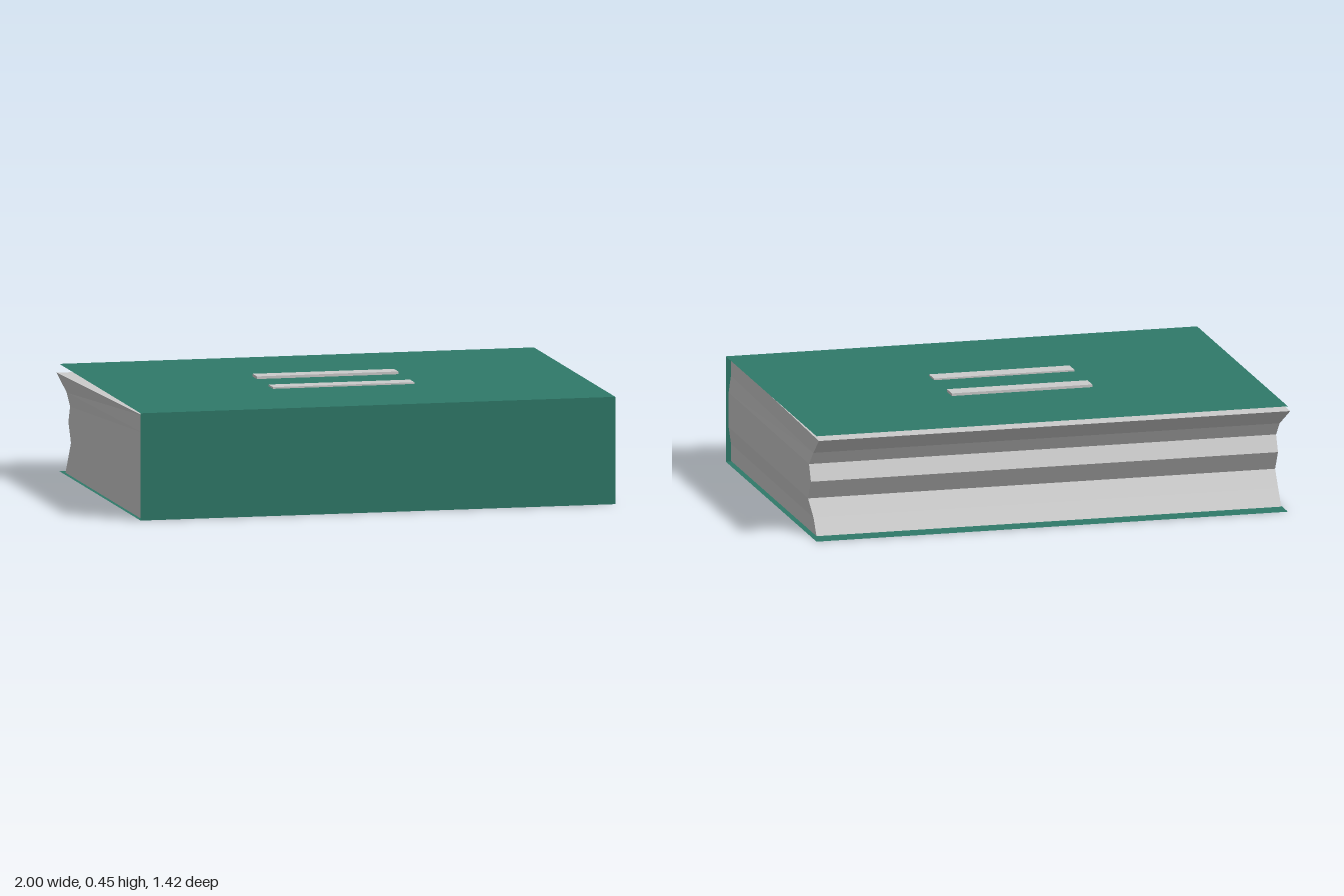
import * as THREE from 'three';

export function createModel() {
  const book = new THREE.Group();
  book.name = 'book';
  const green = new THREE.MeshStandardMaterial({ color: 0x2f7a69, side: THREE.DoubleSide, flatShading: true });
  const grey = new THREE.MeshStandardMaterial({ color: 0xcccccc, flatShading: true });

  const add = (name, geometry, material, x = 0, y = 0, z = 0) => {
    const mesh = new THREE.Mesh(geometry, material);
    mesh.name = name;
    mesh.position.set(x, y, z);
    book.add(mesh);
    return mesh;
  };

  // Thin cover: two boards joined by the spine
  const length = 1.98, depth = 1.42, height = 0.44, midX = 0.01;
  add('topCover', new THREE.PlaneGeometry(length, depth).rotateX(-Math.PI / 2), green, midX, height, 0);
  add('bottomCover', new THREE.PlaneGeometry(length, depth).rotateX(Math.PI / 2), green, midX, 0, 0);
  add('spine', new THREE.PlaneGeometry(length, height), green, midX, height / 2, depth / 2);

  add('pageBlock', pageBlockGeometry(), grey);

  // Two raised bars on the top board
  [[0.132, 0.436], [-0.148, 0.44]].forEach(([z, y]) =>
    add('titleBar', new THREE.BoxGeometry(0.59, 0.022, 0.076), grey, -0.004, y, z));

  return book;
}

// Stacked four-cornered layers with wavy fore edge and ends
function pageBlockGeometry() {
  // [front y, back y, back z, right x, left x at front, left x at back]
  const layers = [
    [0.004, 0.004, -0.635, 0.98, -0.972, -0.972],
    [0.075, 0.07, -0.588, 0.98, -0.972, -0.972],
    [0.146, 0.14, -0.54, 0.99, -0.972, -0.972],
    [0.218, 0.22, -0.585, 0.99, -0.972, -0.972],
    [0.29, 0.287, -0.555, 0.99, -0.972, -0.972],
    [0.36, 0.34, -0.585, 0.98, -0.972, -0.979],
    [0.43, 0.41, -0.672, 0.98, -0.972, -1],
  ];
  const frontZ = 0.703;
  const positions = [], index = [];
  for (const [yF, yB, zB, xR, xLF, xLB] of layers) {
    positions.push(xR, yF, frontZ, xR, yB, zB, xLB, yB, zB, xLF, yF, frontZ);
  }
  for (let k = 0; k < layers.length - 1; k++) {
    for (let i = 0; i < 4; i++) {
      const a = k * 4 + i, b = k * 4 + (i + 1) % 4;
      index.push(a, b, b + 4, a, b + 4, a + 4);
    }
  }
  const t = (layers.length - 1) * 4;
  index.push(t, t + 1, t + 2, t, t + 2, t + 3, 0, 2, 1, 0, 3, 2);

  const indexed = new THREE.BufferGeometry();
  indexed.setAttribute('position', new THREE.Float32BufferAttribute(positions, 3));
  indexed.setIndex(index);
  const geometry = indexed.toNonIndexed();
  geometry.computeVertexNormals();
  return geometry;
}
